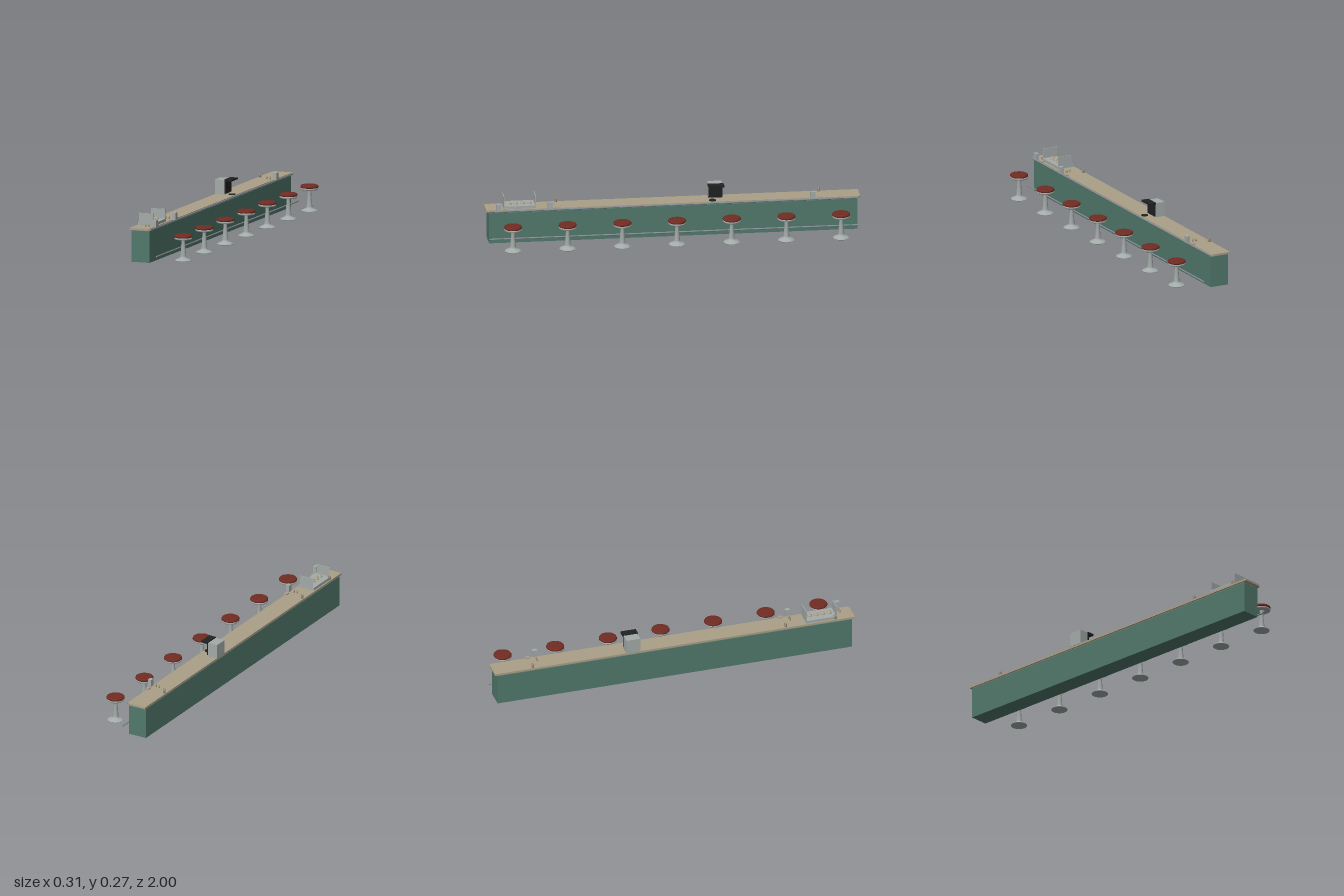
import * as THREE from 'three';

const mat = (name, color, side = THREE.FrontSide) => {
  const m = new THREE.MeshStandardMaterial({ color, side });
  m.name = name;
  return m;
};

export function createModel() {
  const green = mat('green panel', 0x52796c);
  const tan = mat('tan laminate', 0xaba088);
  const steel = mat('steel', 0xa3aba9);
  const rail = mat('rail steel', 0x858d94);
  const red = mat('red vinyl', 0x712c22);
  const black = mat('black enamel', 0x202122);

  const root = new THREE.Group();
  root.name = 'dinerCounter';

  const add = (parent, name, geo, material, x = 0, y = 0, z = 0) => {
    const mesh = new THREE.Mesh(geo, material);
    mesh.name = name;
    mesh.position.set(x, y, z);
    parent.add(mesh);
    return mesh;
  };
  // Box given by its minimum and maximum corners
  const box = (parent, name, material, [x0, y0, z0], [x1, y1, z1]) =>
    add(parent, name, new THREE.BoxGeometry(x1 - x0, y1 - y0, z1 - z0), material,
      (x0 + x1) / 2, (y0 + y1) / 2, (z0 + z1) / 2);
  const group = (name, x, y, z) => {
    const g = new THREE.Group();
    g.name = name;
    g.position.set(x, y, z);
    root.add(g);
    return g;
  };
  const lathe = (pts, seg = 32) =>
    new THREE.LatheGeometry(pts.map(p => new THREE.Vector2(...p)), seg);

  // Counter body and recessed neck under the top
  box(root, 'counterBase', green, [-0.149, 0, -0.985], [-0.045, 0.169, 0.985]);
  box(root, 'counterNeck', rail, [-0.145, 0.169, -0.98], [-0.049, 0.174, 0.98]);

  // Counter top with clipped customer-side corners
  const top = new THREE.Shape();
  [[-0.153, -1], [-0.05, -1], [-0.041, -0.99], [-0.041, 0.99], [-0.05, 1], [-0.153, 1]]
    .forEach(([x, z], i) => i ? top.lineTo(x, -z) : top.moveTo(x, -z));
  const topGeo = new THREE.ExtrudeGeometry(top, { depth: 0.011, bevelEnabled: false });
  topGeo.rotateX(-Math.PI / 2);
  add(root, 'counterTop', topGeo, tan, 0, 0.174, 0);

  // Edge trim and foot rail
  const bar = (name, r, len, x, y) =>
    add(root, name, new THREE.CylinderGeometry(r, r, len, 12).rotateX(Math.PI / 2), rail, x, y, 0);
  bar('edgeTrim', 0.0045, 1.98, -0.039, 0.178);
  bar('footRail', 0.004, 1.975, -0.004, 0.036);

  // Stools
  const pedestal = lathe([[0, 0.005], [0.043, 0.005], [0.044, 0.008], [0.036, 0.013],
    [0.024, 0.018], [0.017, 0.023], [0.0155, 0.03], [0.0085, 0.117], [0.02, 0.121], [0, 0.121]]);
  const ring = lathe([[0, 0.12], [0.043, 0.12], [0.047, 0.123], [0.047, 0.129], [0.044, 0.131], [0, 0.131]]);
  const cushion = lathe([[0, 0.131], [0.045, 0.131], [0.048, 0.134], [0.048, 0.139],
    [0.045, 0.144], [0.041, 0.146], [0, 0.146]]);
  for (let i = -3; i <= 3; i++) {
    const stool = group('stool', 0.104, 0, i * 0.2925 - 0.002);
    add(stool, 'stoolPedestal', pedestal, steel);
    add(stool, 'seatRing', ring, steel);
    add(stool, 'seatCushion', cushion, red);
  }

  // Coffee machine with front panel, hood and round drip plate
  const machine = group('coffeeMachine', 0, 0.185, -0.232);
  box(machine, 'machineBody', steel, [-0.155, 0, -0.038], [-0.1, 0.078, 0.038]);
  box(machine, 'machinePanel', black, [-0.1, 0.006, -0.038], [-0.091, 0.075, 0.038]);
  box(machine, 'machineHood', black, [-0.1, 0.073, -0.043], [-0.058, 0.082, 0.042]);
  add(machine, 'dripPlate', new THREE.CylinderGeometry(0.019, 0.019, 0.003, 24), black, -0.065, 0.0015, 0.02);

  // Pastry tray with upright end plates
  const tray = group('pastryTray', 0, 0.185, 0.819);
  box(tray, 'trayBase', steel, [-0.145, 0, -0.086], [-0.053, 0.015, 0.086]);
  for (const s of [-1, 1]) {
    box(tray, 'trayEndPlate', steel, [-0.138, 0.015, s * 0.084 - 0.002], [-0.057, 0.067, s * 0.084 + 0.002]);
  }
  const bun = new THREE.SphereGeometry(0.014, 20, 10, 0, Math.PI * 2, 0, Math.PI / 2).scale(1, 0.85, 1);
  for (let i = 0; i < 4; i++) add(tray, 'pastry', bun, tan, -0.096, 0.015, -0.054 + i * 0.036);

  // Place settings: napkin holder, shakers, mug and small dish
  const shaker = lathe([[0, 0], [0.0045, 0], [0.004, 0.013], [0.003, 0.017], [0, 0.018]], 12);
  const mugGeo = lathe([[0, 0], [0.006, 0], [0.008, 0.021], [0.007, 0.021], [0.0055, 0.003], [0, 0.003]], 16);
  for (const z of [-0.745, 0.66, 0.935]) {
    const set = group('placeSetting', 0, 0.185, z);
    box(set, 'napkinHolder', steel, [-0.043, 0, -0.013], [-0.023, 0.038, 0.013]);
    add(set, 'saltShaker', shaker, tan, -0.086, 0, 0);
    add(set, 'pepperShaker', shaker, tan, -0.066, 0, 0);
    add(set, 'mug', mugGeo, tan, -0.143, 0, -0.043);
    add(set, 'mugHandle', new THREE.TorusGeometry(0.005, 0.0012, 6, 14), tan, -0.133, 0.011, -0.043);
    box(set, 'smallDish', tan, [-0.052, 0, -0.055], [-0.034, 0.006, -0.031]);
  }
  return root;
}
